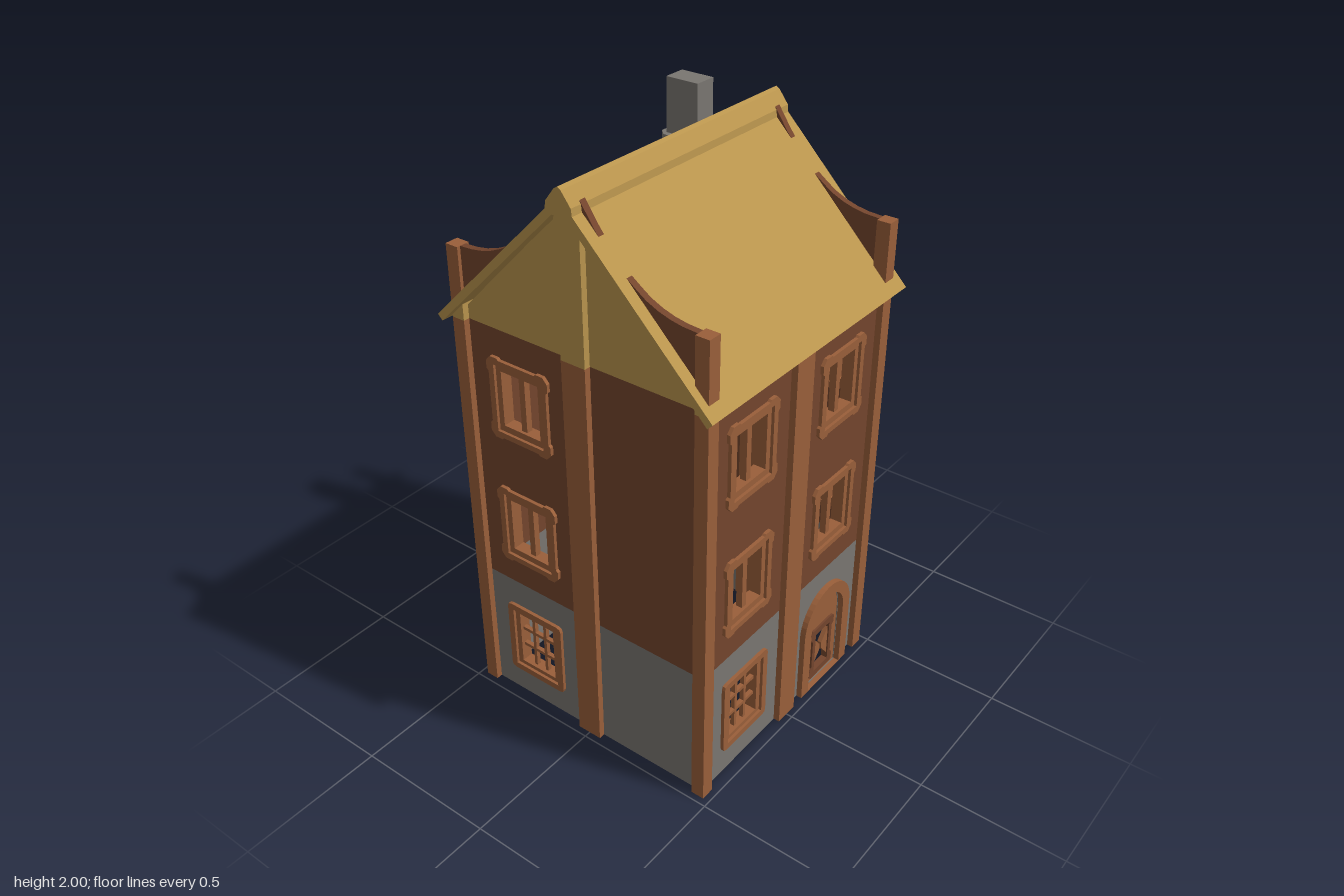
import * as THREE from 'three';

const mat = (name, color) => Object.assign(new THREE.MeshStandardMaterial({ color }), { name });

export function createModel() {
  const wood = mat('wood', 0x9a5f3a);
  const brick = mat('brick', 0x74452d);
  const stone = mat('stone', 0x7a7671);
  const thatch = mat('thatch', 0xb9944d);
  const house = new THREE.Group();
  house.name = 'house';

  const mesh = (parent, name, geo, material) => {
    const m = new THREE.Mesh(geo, material);
    m.name = name;
    parent.add(m);
    return m;
  };
  const box = (parent, name, material, x0, x1, y0, y1, z0, z1) =>
    mesh(parent, name, new THREE.BoxGeometry(x1 - x0, y1 - y0, z1 - z0)
      .translate((x0 + x1) / 2, (y0 + y1) / 2, (z0 + z1) / 2), material);
  const V = (pts, dx = 0, dy = 0) => pts.map(([x, y]) => new THREE.Vector2(x + dx, y + dy));

  // Plate in the x-y plane between z0 and z1, with optional holes
  const plate = (outline, holes, z0, z1) => {
    const s = new THREE.Shape(outline);
    holes.forEach(h => s.holes.push(new THREE.Path(h)));
    return new THREE.ExtrudeGeometry(s, { depth: z1 - z0, bevelEnabled: false }).translate(0, 0, z0);
  };
  // Profile of (z, y) points swept along x
  const alongX = (pts, x0, x1) =>
    new THREE.ExtrudeGeometry(new THREE.Shape(V(pts)), { depth: x1 - x0, bevelEnabled: false })
      .rotateY(-Math.PI / 2).translate(x1, 0, 0);
  // Mirror a quarter outline into all four quadrants
  const sym = q => [
    ...q, ...[...q].reverse().map(([x, y]) => [-x, y]),
    ...q.map(([x, y]) => [-x, -y]), ...[...q].reverse().map(([x, y]) => [x, -y])];
  const rect = (w, h) => sym([[w, h]]);
  const arch = (r, y0, yc) => {
    const pts = [[-r, y0], [r, y0]];
    for (let i = 0; i <= 20; i++) {
      const a = Math.PI * i / 20;
      pts.push([r * Math.cos(a), yc + r * Math.sin(a)]);
    }
    return pts;
  };

  const COL = 0.238, GROUND = 0.24, UPPER = [0.7175, 1.1925];
  const EARED = sym([[0.115, 0.09], [0.123, 0.096], [0.123, 0.124], [0.106, 0.143], [0.078, 0.143], [0.072, 0.137]]);
  const PLAIN = sym([[0.118, 0.125], [0.114, 0.137], [0.1, 0.141]]);

  // Framed window: split by one post, or latticed on the ground floor
  const addWindow = (parent, x, y, lattice) => {
    const g = new THREE.Group();
    g.name = lattice ? 'latticeWindow' : 'window';
    g.position.set(x, y, 0);
    parent.add(g);
    const ow = 0.074, oh = lattice ? 0.103 : 0.096;
    mesh(g, 'outerFrame', plate(V(lattice ? PLAIN : EARED), [V(rect(0.094, 0.118))], 0.41, 0.467), wood);
    mesh(g, 'innerFrame', plate(V(rect(0.094, 0.118)), [V(rect(ow, oh))], 0.415, 0.457), wood);
    if (lattice) {
      for (const s of [-1, 1]) {
        const bx = s * ow / 3, by = s * oh / 3;
        box(g, 'uprightBar', wood, bx - 0.006, bx + 0.006, -oh, oh, 0.43, 0.445);
        box(g, 'crossBar', wood, -ow, ow, by - 0.006, by + 0.006, 0.43, 0.445);
      }
    } else box(g, 'mullion', wood, -0.011, 0.011, -oh, oh, 0.425, 0.447);
  };

  // Arched door with a pierced panel
  const addDoor = parent => {
    const g = new THREE.Group();
    g.name = 'door';
    g.position.x = COL;
    parent.add(g);
    const cy = 0.128;
    mesh(g, 'doorSurround', plate(V(arch(0.142, 0, 0.262)), [V(arch(0.1, 0.001, 0.262))], 0.42, 0.475), wood);
    mesh(g, 'doorLeaf', plate(V(arch(0.1, 0, 0.262)), [V(rect(0.058, 0.092), 0, cy)], 0.43, 0.452), wood);
    const border = sym([[0.06, 0.06], [0.071, 0.07], [0.071, 0.098], [0.062, 0.107]]);
    mesh(g, 'panelBorder', plate(V(border, 0, cy), [V(rect(0.043, 0.082), 0, cy)], 0.435, 0.459), brick);
    for (const s of [-1, 1])
      mesh(g, 'panelOrnament', plate(V([[s * 0.044, -0.06], [s * 0.044, 0.06], [s * 0.005, 0.012], [s * 0.005, -0.012]], 0, cy), [], 0.438, 0.454), wood);
  };

  // Four walls, turned around the middle: front, left, back, right
  ['front', 'left', 'back', 'right'].forEach((name, i) => {
    const side = new THREE.Group();
    side.name = name + 'Side';
    side.rotation.y = i * Math.PI / 2;
    house.add(side);
    const gabled = i % 2 === 1, front = i === 0;
    const top = gabled ? 1.43 : 1.45;
    const W = 0.455;
    const hole = (x, y) => V(rect(0.09, 0.112), x, y);

    const low = [], high = UPPER.map(y => hole(-COL, y));
    if (name !== 'back') low.push(hole(-COL, GROUND));
    if (front) {
      low.push(V(arch(0.098, 0.004, 0.262), COL));
      UPPER.forEach(y => high.push(hole(COL, y)));
    }
    mesh(side, 'stoneWall', plate(V([[-W, 0], [W, 0], [W, 0.48], [-W, 0.48]]), low, 0.437, W), stone);
    mesh(side, 'brickWall', plate(V([[-W, 0.48], [W, 0.48], [W, top], [-W, top]]), high, 0.437, W), brick);

    UPPER.forEach(y => {
      addWindow(side, -COL, y, false);
      if (front) addWindow(side, COL, y, false);
    });
    if (name !== 'back') addWindow(side, -COL, GROUND, true);
    if (front) addDoor(side);

    // Posts
    box(side, 'middlePost', wood, -0.045, 0.045, 0, 1.43, 0.43, 0.477);
    box(side, 'cornerPost', wood, 0.43, 0.477, 0, 1.43, 0.43, 0.477);

    // Gable with its raised posts
    if (gabled) {
      mesh(side, 'gable', plate(V([[-0.475, 1.43], [0.475, 1.43], [0, 1.92]]), [], 0.437, W), thatch);
      mesh(side, 'gableMiddlePost', plate(V([[-0.045, 1.43], [0.045, 1.43], [0.045, 1.88], [0, 1.925], [-0.045, 1.88]]), [], W - 0.01, 0.477), thatch);
      for (const s of [-1, 1])
        mesh(side, 'gableCornerPost', plate(V([[s * 0.43, 1.43], [s * 0.477, 1.43], [s * 0.477, 1.445], [s * 0.43, 1.492]]), [], 0.43, 0.477), thatch);
    }
  });

  // Roof slopes, and the curved parapets standing on them
  const CURVE = [[0.43, 1.67], [0.38, 1.673], [0.34, 1.68], [0.3, 1.692], [0.26, 1.71], [0.23, 1.73],
    [0.195, 1.755], [0.16, 1.785], [0.12, 1.825], [0.085, 1.87], [0.04, 1.935]];
  for (const s of [-1, 1]) {
    const flip = pts => pts.map(([z, y]) => [s * z, y]);
    mesh(house, 'roofSlope', alongX(flip([[0, 1.95], [0.51, 1.44], [0.4925, 1.4225], [0, 1.915]]), -0.505, 0.505), thatch);
    for (const e of [-1, 1]) {
      mesh(house, 'parapet', alongX(flip([...CURVE, [0.04, 1.9], [0.43, 1.51]]), e * 0.454 - 0.011, e * 0.454 + 0.011), brick);
      mesh(house, 'parapetPost', alongX(flip([[0.43, 1.51], [0.477, 1.463], [0.477, 1.67], [0.43, 1.67]]), e * 0.4535 - 0.0235, e * 0.4535 + 0.0235), wood);
    }
  }
  mesh(house, 'ridgeCap', alongX([[-0.049, 1.89], [0.049, 1.89], [0.045, 1.925], [0.012, 1.968], [0, 1.975],
    [-0.012, 1.968], [-0.045, 1.925]], -0.505, 0.505), thatch);

  // Chimney with a wide collar that tapers below
  const chimney = new THREE.Group();
  chimney.name = 'chimney';
  house.add(chimney);
  box(chimney, 'chimneyShaft', stone, 0.31, 0.39, 1.6, 2, -0.278, -0.157);
  const collar = V([[0.39, 0.135], [0.315, 0.135], [0.29, 0.16], [0.29, 0.275], [0.315, 0.3], [0.39, 0.3]]);
  const ring = (y0, y1) => new THREE.ExtrudeGeometry(new THREE.Shape(collar), { depth: y1 - y0, bevelEnabled: false })
    .rotateX(-Math.PI / 2).translate(0, y0, 0);
  mesh(chimney, 'chimneyCollar', ring(1.74, 1.82), stone);
  const taper = ring(1.67, 1.74), p = taper.attributes.position;
  for (let i = 0; i < p.count; i++)
    if (p.getY(i) < 1.7) {
      p.setX(i, 0.39 + (p.getX(i) - 0.39) * 0.78);
      p.setZ(i, -0.2175 + (p.getZ(i) + 0.2175) * 0.72);
    }
  taper.computeVertexNormals();
  mesh(chimney, 'chimneyTaper', taper, stone);

  return house;
}
